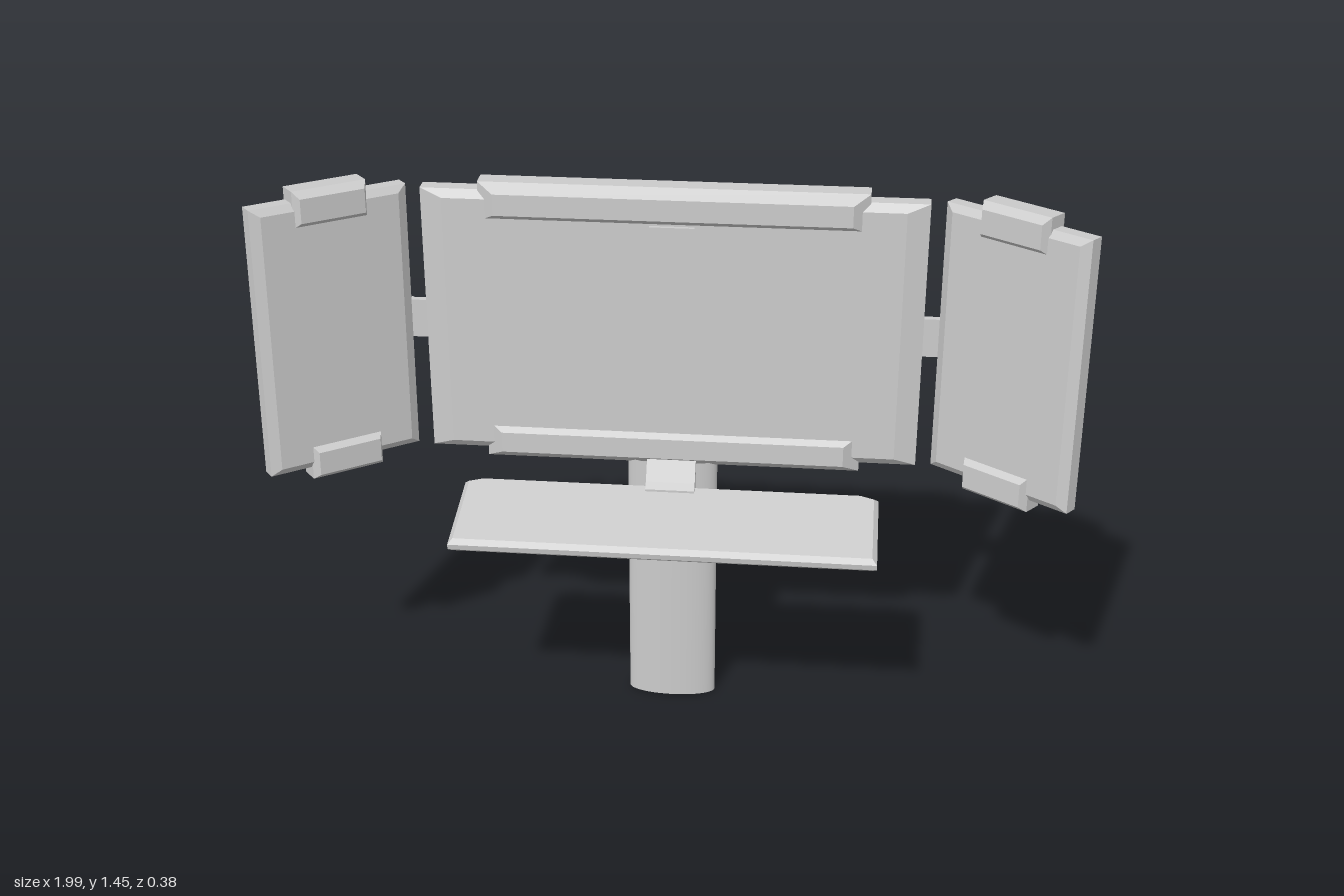
import * as THREE from 'three';

const flat = new THREE.MeshStandardMaterial({ color: 0xcccccc, flatShading: true });
const smooth = new THREE.MeshStandardMaterial({ color: 0xcccccc, side: THREE.DoubleSide });

function add(parent, name, geometry, x = 0, y = 0, z = 0, material = flat) {
  const mesh = new THREE.Mesh(geometry, material);
  mesh.name = name;
  mesh.position.set(x, y, z);
  parent.add(mesh);
  return mesh;
}

// Box whose front and back faces are inset, leaving a rim of thickness "rim"
function bevelBox(w, h, d, insetX, insetY, rim) {
  const g = new THREE.BoxGeometry(w, h, d, 1, 1, 3);
  const p = g.attributes.position;
  for (let i = 0; i < p.count; i++) {
    const z = p.getZ(i);
    if (Math.abs(z) > d * 0.4) {
      p.setX(i, p.getX(i) - Math.sign(p.getX(i)) * insetX);
      p.setY(i, p.getY(i) - Math.sign(p.getY(i)) * insetY);
    } else {
      p.setZ(i, Math.sign(z) * rim / 2);
    }
  }
  const out = g.toNonIndexed();
  out.computeVertexNormals();
  return out;
}

// Closed outline in (z, y), extruded across x and centred
function acrossX(points, width) {
  const shape = new THREE.Shape(points.map(([z, y]) => new THREE.Vector2(-z, y)));
  const g = new THREE.ExtrudeGeometry(shape, { depth: width, bevelEnabled: false });
  g.translate(0, 0, -width / 2);
  g.rotateY(Math.PI / 2);
  return g;
}

function createModel() {
  const model = new THREE.Group();
  model.name = 'tripleDisplayStand';

  // Oval hollow post
  const post = add(model, 'post', new THREE.CylinderGeometry(1, 1, 0.7, 48, 1, true), 0, 0.35, -0.13, smooth);
  post.scale.set(0.115, 1, 0.04);

  // Centre panel with long clamps above and below
  add(model, 'centrePanel', bevelBox(1.235, 0.695, 0.07, 0.055, 0.02, 0.04), 0, 1.0625, -0.138);
  for (const y of [1.381, 0.742]) {
    add(model, 'centreClamp', bevelBox(0.95, 0.1, 0.105, 0.04, 0.023, 0.05), 0, y, -0.141);
  }
  add(model, 'clampTab', new THREE.BoxGeometry(0.11, 0.012, 0.03), 0, 1.331, -0.108);

  // Angled wing panels, each with two short clamps and a hinge
  for (const side of [-1, 1]) {
    const wing = new THREE.Group();
    wing.name = side > 0 ? 'leftWing' : 'rightWing';
    wing.position.set(side * 0.826, 1.073, -0.01);
    wing.rotation.set(-0.032, -side * 0.66, 0);
    model.add(wing);
    add(wing, 'wingPanel', bevelBox(0.405, 0.69, 0.06, 0.025, 0.018, 0.035));
    for (const end of [-1, 1]) {
      add(wing, 'wingClamp', bevelBox(0.19, 0.092, 0.092, 0.012, 0.016, 0.05), 0, end * 0.329, 0);
    }
    add(model, 'hingeInner', new THREE.BoxGeometry(0.09, 0.1, 0.018), side * 0.625, 1.058, -0.143);
    const leaf = add(model, 'hingeOuter', new THREE.BoxGeometry(0.06, 0.1, 0.018), side * 0.68, 1.058, -0.134);
    leaf.rotation.y = -side * 0.5;
  }

  // Sloping tray with clipped back corners and bevelled edges
  const b = 0.012;
  const outline = new THREE.Shape([
    [-0.53 + b, -0.135 + b], [0.53 - b, -0.135 + b], [0.53 - b, 0.115],
    [0.495 - b, 0.14 - b], [-0.495 + b, 0.14 - b], [-0.53 + b, 0.115],
  ].map(([x, y]) => new THREE.Vector2(x, y)));
  const trayGeometry = new THREE.ExtrudeGeometry(outline, {
    depth: 0.014, bevelEnabled: true, bevelSegments: 1, bevelSize: b, bevelThickness: 0.012,
  });
  trayGeometry.translate(0, 0, -0.007);
  trayGeometry.rotateX(-Math.PI / 2);
  const tray = add(model, 'tray', trayGeometry, 0, 0.607, 0.056);
  tray.rotation.x = 0.16;

  // Cranked bracket joining the tray to the lower clamp
  add(model, 'trayBracket', acrossX([
    [-0.045, 0.61], [-0.045, 0.648], [-0.065, 0.66], [-0.095, 0.71],
    [-0.125, 0.71], [-0.125, 0.69], [-0.095, 0.67], [-0.075, 0.615],
  ], 0.125));

  return model;
}

export { createModel };
